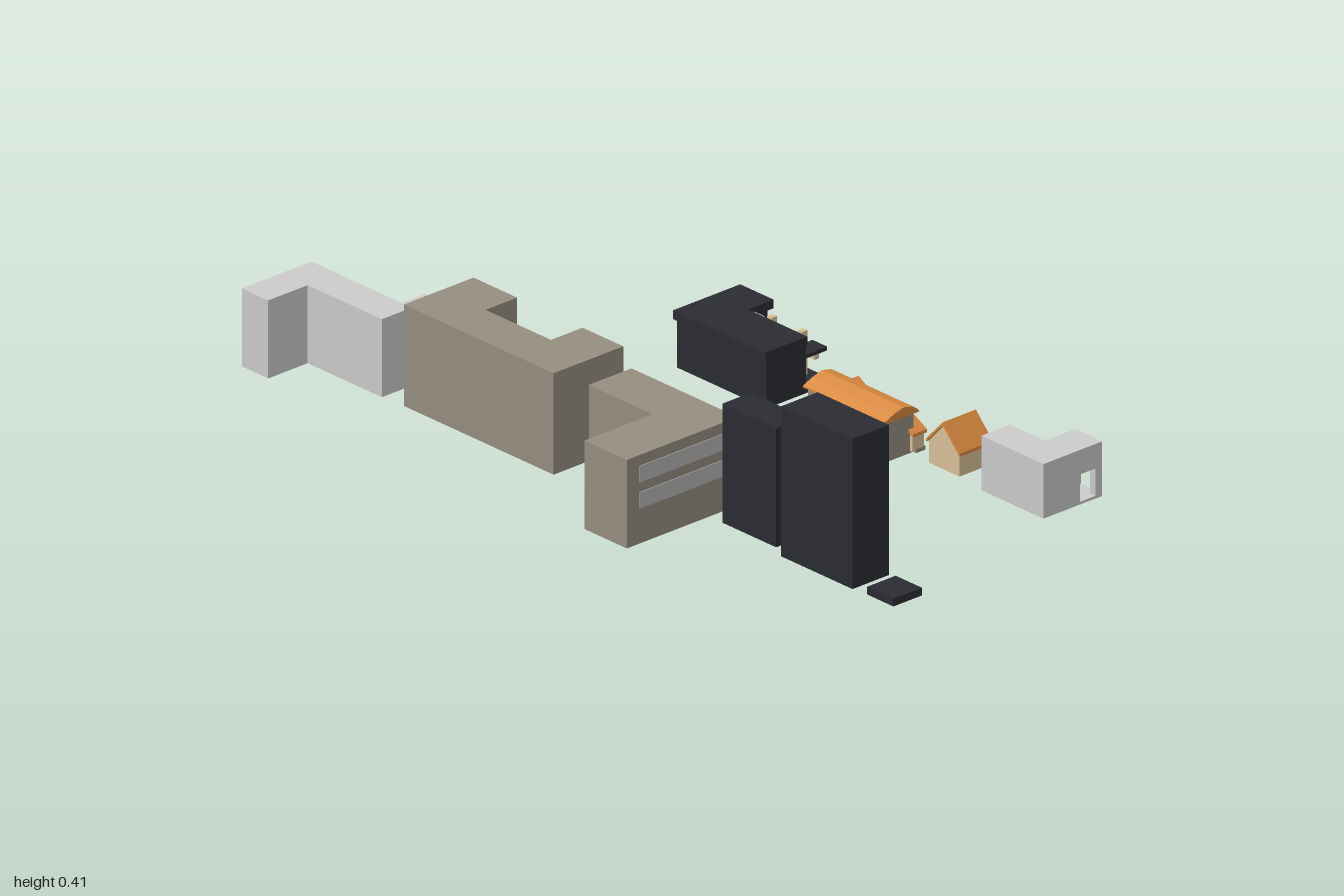
import * as THREE from 'three';

const COLORS = {
  grey: 0xcccccc, tan: 0x968f80, dark: 0x2b2c32, black: 0x0b0b0c, orange: 0xd98a40,
  cream: 0xd8bf98, glass: 0xbccbce, pane: 0xb4b4b6, smoke: 0x4a4a4e, amber: 0xd9b060,
};
const mats = {};
for (const [k, color] of Object.entries(COLORS)) {
  mats[k] = new THREE.MeshStandardMaterial({ color, flatShading: true });
}

function add(parent, name, mat, geo) {
  const mesh = new THREE.Mesh(geo, mats[mat]);
  mesh.name = name;
  parent.add(mesh);
  return mesh;
}

// Box given by its limits
function box(parent, name, mat, x0, x1, y0, y1, z0, z1) {
  const mesh = add(parent, name, mat, new THREE.BoxGeometry(x1 - x0, y1 - y0, z1 - z0));
  mesh.position.set((x0 + x1) / 2, (y0 + y1) / 2, (z0 + z1) / 2);
  return mesh;
}

// Thin panel on a wall that faces +x
const panel = (p, name, mat, x, y0, y1, z0, z1) => box(p, name, mat, x - 0.002, x + 0.002, y0, y1, z0, z1);

// Building mass from a footprint of [x, z] corners
function mass(parent, name, mat, plan, y0, y1) {
  const shape = new THREE.Shape(plan.map(([x, z]) => new THREE.Vector2(x, -z)));
  const geo = new THREE.ExtrudeGeometry(shape, { depth: y1 - y0, bevelEnabled: false });
  geo.rotateX(-Math.PI / 2).translate(0, y0, 0);
  return add(parent, name, mat, geo);
}

// Profile of [offset, y] corners, run along x and centred on z
function runAlongX(parent, name, mat, profile, x0, x1, z) {
  const shape = new THREE.Shape(profile.map(([u, y]) => new THREE.Vector2(u, y)));
  const geo = new THREE.ExtrudeGeometry(shape, { depth: x1 - x0, bevelEnabled: false });
  geo.rotateY(Math.PI / 2).translate(x0, 0, z);
  return add(parent, name, mat, geo);
}

// Chevron-shaped roof section
const chevron = (w, eave, ridge, t) => [[-w, eave], [w, eave], [w, eave + t], [0, ridge], [-w, eave + t], [-w, eave]].slice(0, 5)
  .flatMap((p, i) => (i === 0 ? [p, [0, ridge - t]] : [p]));

// Gabled block whose gable looks toward +x
function gable(parent, name, x0, x1, z, w, base, eave, ridge, wallMat) {
  const g = new THREE.Group();
  g.name = name;
  parent.add(g);
  const t = 0.008, o = w - 0.006;
  runAlongX(g, 'gableWalls', wallMat, [[-o, base], [o, base], [o, eave], [0, ridge - t], [-o, eave]], x0 + 0.005, x1 - 0.005, z);
  runAlongX(g, 'gableRoof', 'orange', chevron(w, eave - 0.004, ridge, t), x0, x1, z);
  return g;
}

function group(parent, name) {
  const g = new THREE.Group();
  g.name = name;
  parent.add(g);
  return g;
}

export function createModel() {
  const root = new THREE.Group();
  root.name = 'streetOfBuildings';
  const B = 0.03;

  // Grey L-shaped hall with banded corner tower and low terrace
  const hall = group(root, 'greyHall');
  mass(hall, 'hallWalls', 'grey', [[-0.49, -1], [-0.27, -1], [-0.27, -0.655], [-0.365, -0.655], [-0.365, -0.91], [-0.49, -0.91]], B, 0.23);
  box(hall, 'terrace', 'dark', -0.27, -0.15, B, 0.05, -1, -0.75);
  panel(hall, 'hallDoor', 'pane', -0.27, 0.05, 0.095, -0.89, -0.825);
  box(hall, 'tower', 'glass', -0.275, -0.145, B, 0.188, -0.745, -0.66);
  for (const y of [0.082, 0.125, 0.168]) box(hall, 'towerBand', 'dark', -0.28, -0.14, y, y + 0.021, -0.75, -0.655);
  box(hall, 'towerRoof', 'grey', -0.28, -0.14, 0.189, 0.192, -0.75, -0.655);

  // Tan U-shaped block
  const block = group(root, 'courtyardBlock');
  mass(block, 'blockWalls', 'tan', [[-0.36, -0.585], [-0.14, -0.585], [-0.14, -0.435], [-0.24, -0.435],
    [-0.24, -0.21], [-0.14, -0.21], [-0.14, -0.07], [-0.36, -0.07]], B, 0.29);
  [0.225, 0.165, 0.11, 0.07].forEach((y, i) => {
    const s = i % 2;
    panel(block, 'wingWindow', s ? 'pane' : 'smoke', -0.14, y, y + 0.036, -0.115, -0.08);
    panel(block, 'wingWindow', s ? 'smoke' : 'pane', -0.14, y, y + 0.036, -0.195, -0.125);
    panel(block, 'wingWindow', s ? 'smoke' : 'pane', -0.14, y, y + 0.036, -0.5, -0.45);
    panel(block, 'wingWindow', s ? 'pane' : 'smoke', -0.14, y, y + 0.036, -0.57, -0.525);
  });
  for (const y of [0.22, 0.17, 0.122]) panel(block, 'courtBand', 'pane', -0.24, y, y + 0.016, -0.43, -0.215);
  panel(block, 'courtDoor', 'pane', -0.24, B, 0.08, -0.34, -0.3);

  // Tan L-shaped block with long window strips
  const office = group(root, 'stripBlock');
  mass(office, 'officeWalls', 'tan', [[-0.295, -0.02], [-0.16, -0.02], [-0.16, 0.345], [-0.51, 0.345], [-0.51, 0.2], [-0.295, 0.2]], B, 0.257);
  for (const y of [0.187, 0.12]) {
    panel(office, 'sideStrip', 'pane', -0.16, y, y + 0.038, 0.03, 0.33);
    box(office, 'frontStrip', 'pane', -0.47, -0.2, y, y + 0.042, 0.343, 0.347);
  }
  panel(office, 'lowWindow', 'smoke', -0.16, 0.06, 0.085, 0.2, 0.3);
  panel(office, 'officeDoor', 'pane', -0.16, B, 0.08, 0.05, 0.08);

  // Dark towers
  const low = group(root, 'darkLowTower');
  box(low, 'lowTowerWalls', 'dark', -0.25, -0.16, B, 0.335, 0.39, 0.575);
  panel(low, 'lowTowerDoor', 'cream', -0.16, B, 0.08, 0.455, 0.49);
  panel(low, 'lowTowerWindow', 'smoke', -0.16, 0.27, 0.3, 0.43, 0.48);
  const high = group(root, 'darkHighTower');
  box(high, 'highTowerWalls', 'dark', -0.275, -0.16, B, 0.415, 0.62, 0.865);
  panel(high, 'highTowerDoor', 'cream', -0.16, B, 0.085, 0.72, 0.755);
  ['amber', 'cream', 'smoke', 'smoke'].forEach((m, i) => {
    const z = 0.83 - i * 0.052;
    panel(high, 'highTowerWindow', m, -0.16, 0.36, 0.39, z - 0.043, z);
  });
  box(root, 'darkSlab', 'dark', -0.27, -0.18, B, 0.05, 0.91, 1);

  // Dark villa with recessed porch
  const villa = group(root, 'darkVilla');
  box(villa, 'villaBody', 'dark', 0.295, 0.42, 0, 0.13, -0.36, -0.052);
  box(villa, 'villaRoof', 'dark', 0.287, 0.42, 0.125, 0.147, -0.365, -0.047);
  box(villa, 'villaWing', 'dark', 0.42, 0.485, 0, 0.13, -0.36, -0.255);
  box(villa, 'wingRoof', 'dark', 0.42, 0.5, 0.125, 0.147, -0.365, -0.25);
  box(villa, 'porchFloor', 'dark', 0.42, 0.485, 0, 0.022, -0.255, -0.052);
  box(villa, 'endPorchRoof', 'dark', 0.42, 0.485, 0.09, 0.1, -0.1, -0.05);
  box(villa, 'porchBeam', 'cream', 0.445, 0.46, 0.078, 0.09, -0.2, -0.05);
  for (const z of [-0.1, -0.205]) box(villa, 'porchColumn', 'cream', 0.445, 0.462, 0.022, 0.135, z - 0.008, z + 0.008);
  box(villa, 'porchPier', 'grey', 0.42, 0.44, 0.022, 0.135, -0.25, -0.215);
  for (const [z0, z1] of [[-0.195, -0.15], [-0.14, -0.11], [-0.09, -0.06]]) panel(villa, 'porchWindow', 'pane', 0.42, 0.03, 0.065, z0, z1);
  panel(villa, 'wingWindow', 'pane', 0.485, 0.085, 0.115, -0.345, -0.28);
  panel(villa, 'wingWindow', 'pane', 0.485, 0.04, 0.068, -0.345, -0.265);

  // Long cottage: ridge along z, two small gables in front
  const long = group(root, 'longCottage');
  box(long, 'cottageWalls', 'tan', 0.292, 0.385, 0, 0.108, 0.095, 0.355);
  const arc = new THREE.Shape();
  [[0.285, 0.104], [0.395, 0.104], [0.39, 0.112], [0.375, 0.123], [0.345, 0.13], [0.315, 0.122], [0.285, 0.109]]
    .forEach(([x, y], i) => (i ? arc.lineTo(x, y) : arc.moveTo(x, y)));
  const arcGeo = new THREE.ExtrudeGeometry(arc, { depth: 0.28, bevelEnabled: false });
  add(long, 'cottageRoof', 'orange', arcGeo.translate(0, 0, 0.085));
  box(long, 'cottageStep', 'tan', 0.385, 0.415, 0, 0.01, 0.095, 0.365);
  const g1 = gable(long, 'entryGable', 0.37, 0.415, 0.325, 0.045, 0.005, 0.05, 0.077, 'cream');
  panel(g1, 'entryDoor', 'tan', 0.411, 0.01, 0.043, 0.31, 0.34);
  const g2 = gable(long, 'sideGable', 0.37, 0.415, 0.135, 0.042, 0.005, 0.082, 0.11, 'tan');
  panel(g2, 'sideWindow', 'cream', 0.411, 0.02, 0.075, 0.12, 0.15);
  panel(long, 'upperWindow', 'smoke', 0.386, 0.058, 0.085, 0.19, 0.28);
  box(long, 'porchFront', 'cream', 0.385, 0.405, 0.01, 0.05, 0.185, 0.275);

  // Small gabled house
  const house = gable(root, 'smallHouse', 0.33, 0.435, 0.516, 0.058, 0.025, 0.083, 0.148, 'cream');
  panel(house, 'houseDoor', 'tan', 0.43, 0.027, 0.07, 0.525, 0.545);
  panel(house, 'houseWindow', 'smoke', 0.43, 0.05, 0.075, 0.485, 0.505);

  // Grey corner house standing over an open passage
  const corner = group(root, 'cornerHouse');
  box(corner, 'cornerFloor', 'grey', 0.325, 0.51, 0.023, 0.03, 0.655, 0.868);
  box(corner, 'cornerWalls', 'grey', 0.325, 0.415, 0.03, 0.163, 0.655, 0.868);
  box(corner, 'overhang', 'grey', 0.415, 0.51, 0.1, 0.163, 0.775, 0.868);
  box(corner, 'passageWall', 'grey', 0.415, 0.44, 0.03, 0.1, 0.855, 0.868);
  box(corner, 'cornerPost', 'grey', 0.49, 0.51, 0.03, 0.1, 0.848, 0.868);
  box(corner, 'innerPost', 'grey', 0.49, 0.51, 0.03, 0.1, 0.775, 0.795);
  panel(corner, 'passageOpening', 'black', 0.415, 0.03, 0.1, 0.785, 0.855);
  panel(corner, 'courtOpening', 'black', 0.415, 0.03, 0.1, 0.67, 0.765);
  panel(corner, 'cornerDoor', 'cream', 0.418, 0.03, 0.078, 0.715, 0.755);

  return root;
}
